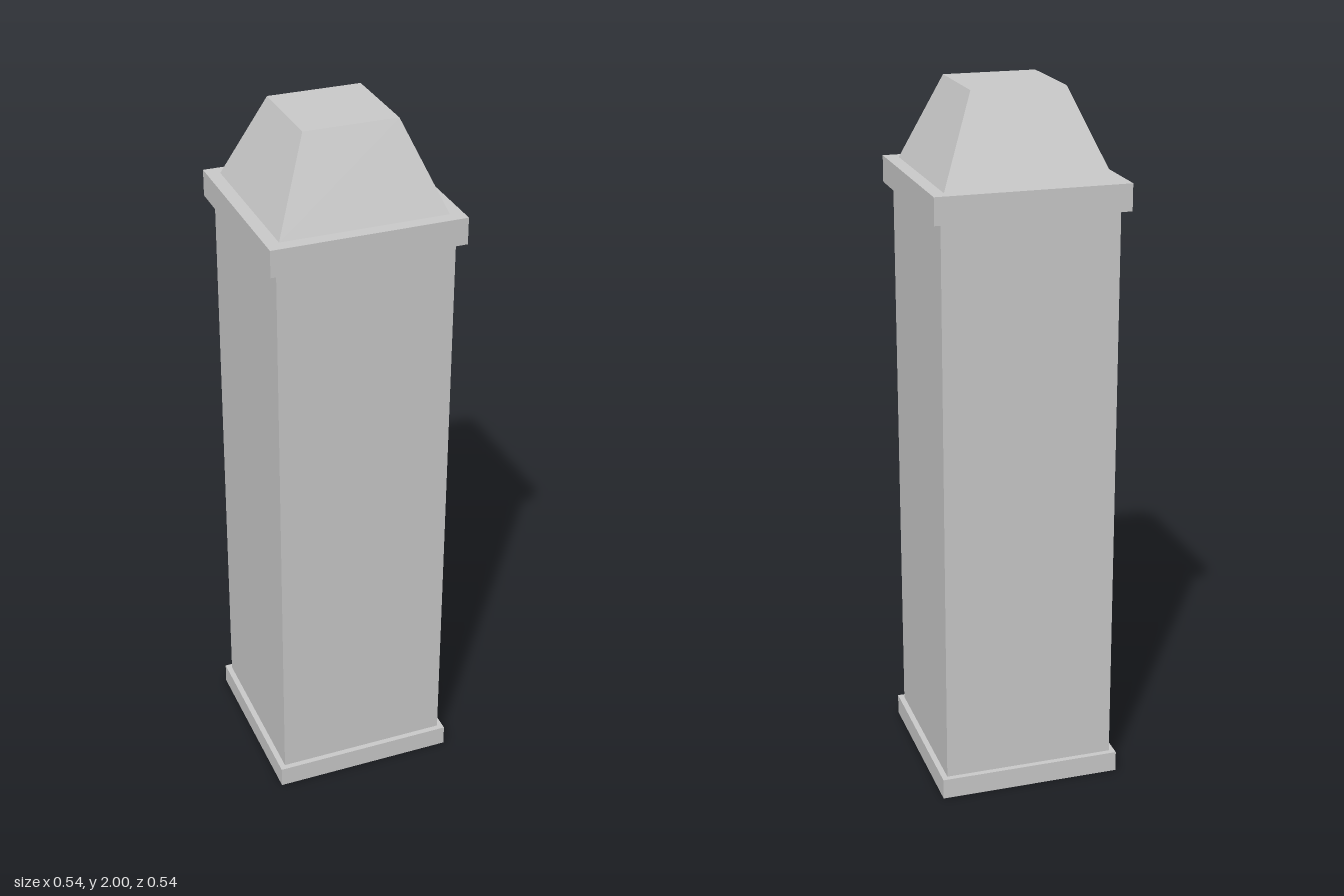
import * as THREE from 'three';

const material = new THREE.MeshStandardMaterial({ color: 0xcccccc, flatShading: true, side: THREE.DoubleSide });

// Square block from y0 to y1 with half-widths at bottom and top; optionally hollow from below
function block(name, y0, y1, bottom, top = bottom, openBelow = false) {
  const geo = new THREE.BoxGeometry(2, y1 - y0, 2);
  geo.translate(0, (y0 + y1) / 2, 0);
  const pos = geo.attributes.position;
  const middle = (y0 + y1) / 2;
  for (let i = 0; i < pos.count; i++) {
    const half = pos.getY(i) > middle ? top : bottom;
    pos.setX(i, pos.getX(i) * half);
    pos.setZ(i, pos.getZ(i) * half);
  }
  if (openBelow) {
    // Drop the downward face (fourth side of the box)
    const index = Array.from(geo.index.array);
    index.splice(18, 6);
    geo.setIndex(index);
    geo.clearGroups();
  }
  geo.computeVertexNormals();
  const mesh = new THREE.Mesh(geo, material);
  mesh.name = name;
  return mesh;
}

export function createModel() {
  const group = new THREE.Group();
  group.name = 'pillar';
  group.add(
    // Hollow plinth and the tall square shaft on it
    block('basePlinth', 0, 0.06, 0.263, 0.263, true),
    block('shaft', 0.06, 1.685, 0.247),
    // Hollow collar that caps the shaft
    block('collar', 1.685, 1.76, 0.27, 0.27, true),
    // Tapered top
    block('taperedCap', 1.76, 2, 0.233, 0.131),
  );
  return group;
}
